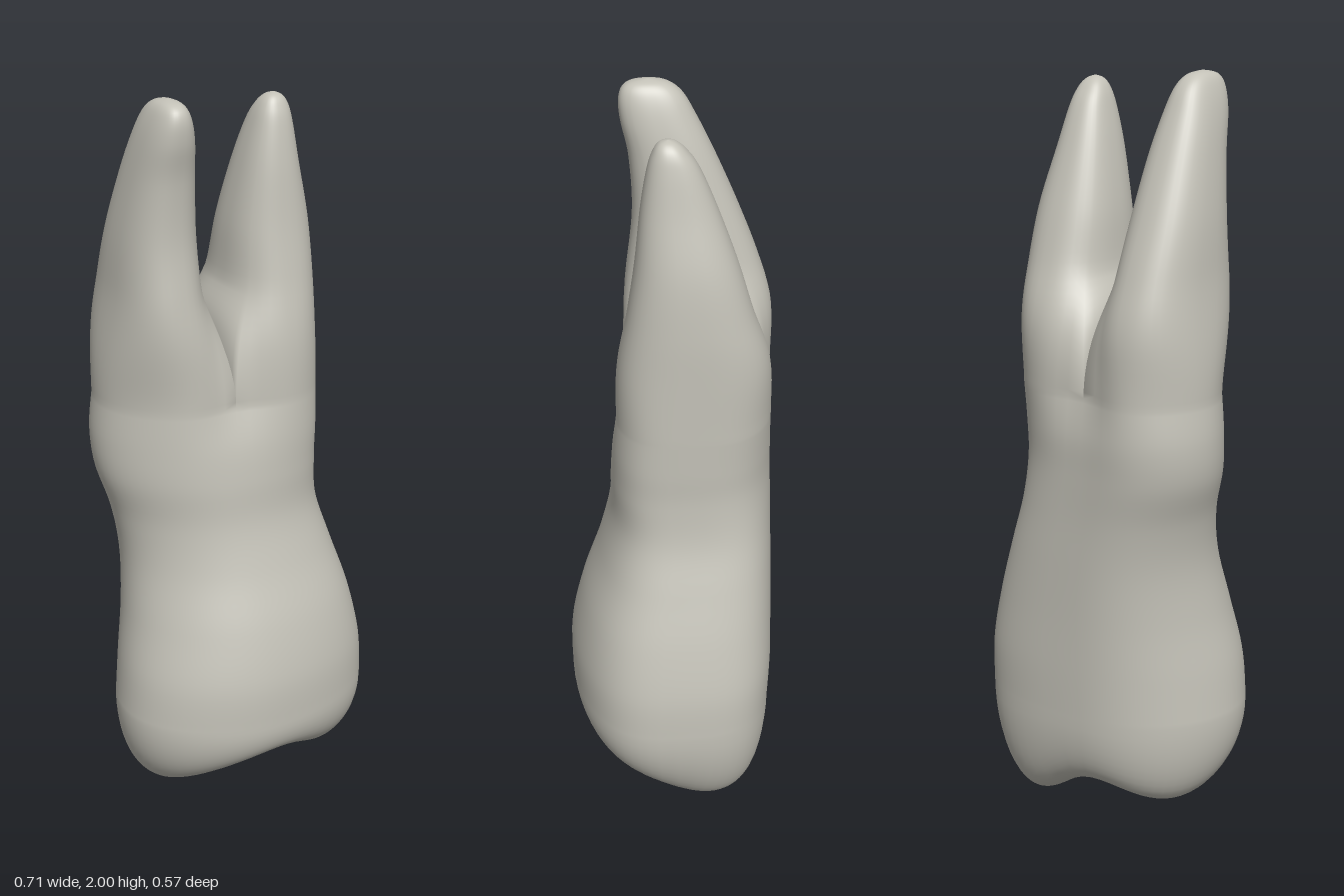
import * as THREE from 'three';

const N = 64;         // points around the body
const M = 15;         // points across the saddle between the roots
const SPLIT = 1.2;    // height where the roots begin to part

// Body sections: y, xMin, xMax, zBack, zFront, shear, groove
const BODY = [
  [0.32, -0.355, 0.355, -0.262, 0.288, -0.01, 0],
  [0.45, -0.342, 0.348, -0.266, 0.286, -0.01, 0],
  [0.60, -0.316, 0.315, -0.267, 0.255, 0, 0],
  [0.75, -0.302, 0.268, -0.268, 0.205, 0.01, 0],
  [0.88, -0.315, 0.228, -0.270, 0.174, 0.02, 0.01],
  [1.00, -0.348, 0.216, -0.276, 0.170, 0.035, 0.03],
  [1.10, -0.355, 0.218, -0.283, 0.168, 0.04, 0.08],
  [SPLIT, -0.345, 0.220, -0.285, 0.165, 0.035, 0.19],
];
// Root sections: y, xMin, xMax, zBack, zFront
const ROOT_LEFT = [
  [SPLIT, -0.062, 0.220, -0.280, 0.164],
  [1.35, -0.050, 0.221, -0.245, 0.146],
  [1.50, -0.020, 0.219, -0.197, 0.124],
  [1.65, -0.006, 0.206, -0.152, 0.102],
  [1.80, 0.021, 0.173, -0.098, 0.086],
  [1.90, 0.046, 0.153, -0.056, 0.070],
  [1.945, 0.063, 0.140, -0.026, 0.056],
  [1.967, 0.081, 0.123, -0.002, 0.041],
  [1.975, 0.102, 0.102, 0.020, 0.020],
];
const ROOT_RIGHT = [
  [SPLIT, -0.345, -0.064, -0.286, 0.150],
  [1.35, -0.330, -0.078, -0.278, 0.130],
  [1.50, -0.320, -0.100, -0.240, 0.108],
  [1.65, -0.311, -0.115, -0.184, 0.092],
  [1.80, -0.292, -0.130, -0.120, 0.100],
  [1.90, -0.275, -0.146, -0.072, 0.120],
  [1.96, -0.257, -0.163, -0.038, 0.121],
  [1.99, -0.238, -0.183, 0.000, 0.100],
  [2.00, -0.211, -0.211, 0.050, 0.050],
];

// Smooth interpolation of a section table, t in 0..1
function sample(rows, t) {
  const f = t * (rows.length - 1);
  const i = Math.min(Math.floor(f), rows.length - 2);
  const k = f - i;
  const row = (j) => rows[Math.max(0, Math.min(rows.length - 1, j))];
  return rows[i].map((b, c) => {
    const a = row(i - 1)[c], d = row(i + 1)[c], e = row(i + 2)[c];
    return b + 0.5 * k * (d - a + k * (2 * a - 5 * b + 4 * d - e + k * (3 * (b - d) + e - a)));
  });
}

// Sine or cosine pushed towards a squarer outline
const soft = (v, p) => Math.sign(v) * Math.abs(v) ** p;

// Body cross-section point at angle a, squarer towards +x and the back
function bodyPoint([y, x0, x1, z0, z1, shear, groove], a) {
  const p = 0.85 - 0.15 * Math.cos(a) + 0.08 * Math.sin(a);
  const u = soft(Math.cos(a), p), v = soft(Math.sin(a), p);
  const half = Math.sqrt(((z1 - z0) / 2) ** 2 - shear ** 2);
  const dent = 1 - groove * Math.exp(-((u / 0.38) ** 2));
  return [(x0 + x1) / 2 + (u * (x1 - x0)) / 2, y, (z0 + z1) / 2 + v * half * dent + shear * u];
}

// Height of the chewing surface: two cusps, a groove and a pit near the front
function cuspHeight(x, z) {
  const bump = (cx, cz, sx, sz) => Math.exp(-(((x - cx) / sx) ** 2) - ((z - cz) / sz) ** 2);
  return 0.165 + 0.12 * z - 0.16 * bump(0.2, -0.09, 0.18, 0.25)
    - 0.1 * bump(-0.24, -0.04, 0.16, 0.25) + 0.045 * bump(0.01, 0.1, 0.1, 0.14);
}

function createToothGeometry() {
  const positions = [], indices = [];
  const add = (p) => positions.push(...p) / 3 - 1;
  const at = (i) => positions.slice(i * 3, i * 3 + 3);
  const stitch = (lower, upper, flip) => {
    const n = lower.length;
    for (let i = 0; i < n; i++) {
      const j = (i + 1) % n;
      const quad = [lower[i], upper[i], lower[j], lower[j], upper[i], upper[j]];
      indices.push(...(flip ? quad.reverse() : quad));
    }
  };
  const bodyRing = (row) =>
    Array.from({ length: N }, (_, i) => bodyPoint(row, (i / N) * Math.PI * 2));

  // Chewing surface, from its middle out to the widest part of the crown
  const rim = bodyRing(BODY[0]);
  let ring = new Array(N).fill(add([0, cuspHeight(0, 0.013), 0.013]));
  const capRings = 22;
  for (let r = 1; r <= capRings; r++) {
    const t = Math.sin((r / capRings) * Math.PI / 2);
    const lift = 1 - Math.sqrt(Math.max(0, 1 - t ** 7));
    const next = rim.map(([px, py, pz]) => {
      const x = px * t, z = 0.013 + (pz - 0.013) * t;
      const h = cuspHeight(x, z);
      return add([x, h + (py - h) * lift, z]);
    });
    stitch(ring, next, false);
    ring = next;
  }

  // Crown sides and neck
  for (let r = 1; r <= 42; r++) {
    const next = bodyRing(sample(BODY, r / 42)).map(add);
    stitch(ring, next, false);
    ring = next;
  }

  // Arched saddle shared by both roots, running back to front
  const front = at(ring[N / 4]), back = at(ring[(3 * N) / 4]);
  const saddle = [];
  for (let j = 1; j <= M; j++) {
    const k = j / (M + 1);
    saddle.push(add([
      front[0], SPLIT + 0.12 * Math.sin(k * Math.PI) ** 0.8, back[2] + (front[2] - back[2]) * k,
    ]));
  }

  // Roots: half of the body ring plus the saddle, easing into rounded sections
  for (const [rows, side] of [[ROOT_LEFT, 1], [ROOT_RIGHT, -1]]) {
    const outer = Array.from({ length: N / 2 + 1 }, (_, k) => ring[(N / 4 - side * k + N) % N]);
    let lower = [...outer, ...saddle];
    const base = lower.map(at);
    const spread = THREE.MathUtils.degToRad(140);
    const angles = outer.map((_, k) => spread - (2 * spread * k) / (N / 2));
    for (let j = 1; j <= M; j++) {
      angles.push(-spread - ((2 * Math.PI - 2 * spread) * j) / (M + 1));
    }
    const steps = 48;
    for (let r = 1; r <= steps; r++) {
      const [y, x0, x1, z0, z1] = sample(rows, r / steps);
      const ease = THREE.MathUtils.smoothstep(y, SPLIT, 1.52);
      const upper = angles.map((a, i) => {
        const [bx, by, bz] = base[i];
        const x = (x0 + x1) / 2 + (side * soft(Math.cos(a), 0.85) * (x1 - x0)) / 2;
        const z = (z0 + z1) / 2 + (soft(Math.sin(a), 0.85) * (z1 - z0)) / 2;
        // Points above the saddle start higher and catch up with the rest
        const rise = (by - SPLIT) * Math.max(0, 1 - (y - SPLIT) / 0.3);
        return add([bx + (x - bx) * ease, y + rise, bz + (z - bz) * ease]);
      });
      if (r === steps) upper.fill(upper[0]);
      stitch(lower, upper, side > 0);
      lower = upper;
    }
  }

  const geometry = new THREE.BufferGeometry();
  geometry.setAttribute('position', new THREE.Float32BufferAttribute(positions, 3));
  geometry.setIndex(indices);
  geometry.computeVertexNormals();
  return geometry;
}

export function createModel() {
  const group = new THREE.Group();
  group.name = 'tooth';
  const enamel = new THREE.MeshStandardMaterial({ color: 0xc4c2b8 });
  enamel.name = 'enamel';
  const tooth = new THREE.Mesh(createToothGeometry(), enamel);
  tooth.name = 'crownAndRoots';
  group.add(tooth);
  return group;
}
